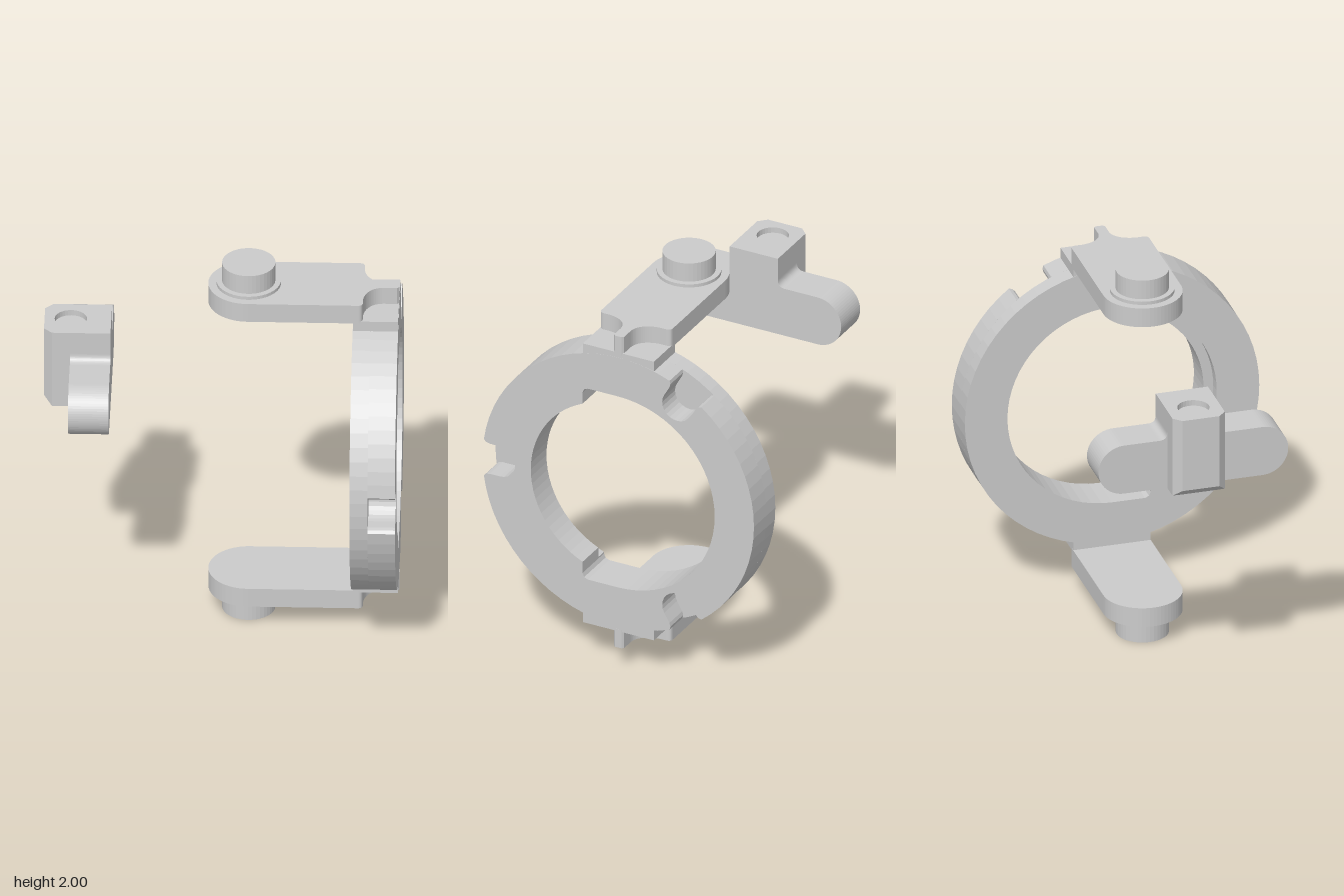
import * as THREE from 'three';
import { ConvexGeometry } from 'three/addons/geometries/ConvexGeometry.js';

const material = new THREE.MeshStandardMaterial({ color: 0xcccccc, flatShading: true });
const MID = 1; // height of the ring axis

function mesh(name, geometry) {
  const m = new THREE.Mesh(geometry, material);
  m.name = name;
  return m;
}

// Extrude a (-z, y) outline along x, from x0 to x1
function extrudeX(shape, x0, x1) {
  return new THREE.ExtrudeGeometry(shape, { depth: x1 - x0, bevelEnabled: false, curveSegments: 16 })
    .rotateY(Math.PI / 2).translate(x0, 0, 0);
}

// Extrude an (x, -z) outline along y, from y0 to y1
function extrudeY(shape, y0, y1) {
  return new THREE.ExtrudeGeometry(shape, { depth: y1 - y0, bevelEnabled: false, curveSegments: 16 })
    .rotateX(-Math.PI / 2).translate(0, y0, 0);
}

function arcPoints(cx, cy, r, a0, a1, n) {
  return Array.from({ length: n + 1 }, (_, i) => {
    const a = a0 + (a1 - a0) * i / n;
    return new THREE.Vector2(cx + r * Math.cos(a), cy + r * Math.sin(a));
  });
}

// Bore: wide half, flats at top and bottom, and a second half of radius r
function borePath(r) {
  const R = 0.54, c = 0.2, y = Math.sqrt(r * r - c * c), a = Math.atan2(y, -c);
  const corner = [[-0.17, -R], [-0.191, -0.531], [-c, -0.51]].map(p => new THREE.Vector2(...p));
  return new THREE.Path([
    ...arcPoints(0, 0, R, Math.PI / 2, -Math.PI / 2, 32),
    ...corner,
    ...arcPoints(0, 0, r, -a, a - 2 * Math.PI, 28),
    ...corner.map(p => new THREE.Vector2(p.x, -p.y)).reverse(),
  ]);
}

// Ring outline, optionally with three keyhole notches in the rim
function ringShape(boreRadius, notched) {
  const R = 0.76;
  let points = [];
  if (notched) {
    const w = 0.085, f = 0.103;
    const side = [[Math.sqrt(R * R - f * f), -f], [0.74, -0.09], [0.72, -w]].map(p => new THREE.Vector2(...p));
    const notch = [
      ...side,
      ...arcPoints(0.662, 0, w, -Math.PI / 2, -1.5 * Math.PI, 12),
      ...side.map(p => new THREE.Vector2(p.x, -p.y)).reverse(),
    ];
    const half = Math.asin(f / R), origin = new THREE.Vector2();
    for (let k = 0; k < 3; k++) {
      const a = Math.PI / 3 + k * 2 * Math.PI / 3;
      points.push(...notch.map(p => p.clone().rotateAround(origin, a)));
      points.push(...arcPoints(0, 0, R, a + half, a + 2 * Math.PI / 3 - half, 20).slice(1, -1));
    }
  } else {
    points = arcPoints(0, 0, R, 0, 2 * Math.PI, 66).slice(0, -1);
  }
  const shape = new THREE.Shape(points);
  shape.holes.push(borePath(boreRadius));
  return shape;
}

function makeRing() {
  const ring = new THREE.Group();
  ring.name = 'ring';
  ring.position.y = MID;
  ring.add(
    mesh('ringInnerFace', extrudeX(ringShape(0.54, false), 0.65, 0.71)),
    mesh('ringLipLayer', extrudeX(ringShape(0.49, false), 0.71, 0.74)),
    mesh('ringNotchedLayer', extrudeX(ringShape(0.49, true), 0.74, 0.875)),
  );
  return ring;
}

// Arm with pivot pin, measured from the ring axis
function makeArm(name) {
  const arm = new THREE.Group();
  arm.name = name;

  // Plate: round end, two scooped pockets and a thin central web
  const s = new THREE.Shape();
  s.absarc(0.13, 0, 0.2, Math.PI / 2, 1.5 * Math.PI, false);
  s.lineTo(0.675, -0.2);
  s.quadraticCurveTo(0.7, -0.2, 0.7, -0.17);
  s.lineTo(0.7, -0.14);
  s.bezierCurveTo(0.705, -0.08, 0.74, -0.028, 0.8, -0.028);
  s.lineTo(0.865, -0.028);
  s.lineTo(0.875, -0.018);
  s.lineTo(0.875, 0.018);
  s.lineTo(0.865, 0.028);
  s.lineTo(0.8, 0.028);
  s.bezierCurveTo(0.74, 0.028, 0.705, 0.08, 0.7, 0.14);
  s.lineTo(0.7, 0.17);
  s.quadraticCurveTo(0.7, 0.2, 0.675, 0.2);
  arm.add(mesh('armPlate', extrudeY(s, 0.777, 0.88)));

  // Pad joining plate and ring
  arm.add(mesh('mountingPad', new THREE.BoxGeometry(0.222, 0.09, 0.398).translate(0.763, 0.743, 0)));

  // Pivot pin and its collar
  arm.add(mesh('pinCollar', new THREE.CylinderGeometry(0.16, 0.16, 0.025, 40).translate(0.13, 0.885, 0)));
  arm.add(mesh('pivotPin', new THREE.CylinderGeometry(0.132, 0.132, 0.13, 40).translate(0.13, 0.935, 0)));
  arm.position.y = MID;
  return arm;
}

function makeSlider() {
  const slider = new THREE.Group();
  slider.name = 'slider';
  const bottom = 1.23, top = 1.655, lid = 1.625;

  // Block with chamfered back edges
  const outline = [[-0.55, -0.135], [-0.55, 0.135], [-0.84, 0.135], [-0.88, 0.095], [-0.88, -0.095], [-0.84, -0.135]];
  const corners = [];
  for (const [x, z] of outline) {
    corners.push(new THREE.Vector3(x, lid, z), new THREE.Vector3(x, bottom + 0.038, z));
    corners.push(new THREE.Vector3(Math.max(x, -0.842), bottom, z));
  }
  slider.add(mesh('block', new ConvexGeometry(corners)));

  // Top of the block with a round recess
  const cap = new THREE.Shape(outline.map(p => new THREE.Vector2(...p)));
  cap.holes.push(new THREE.Path(arcPoints(-0.75, 0, 0.08, 0, 2 * Math.PI, 32).slice(0, -1)));
  slider.add(mesh('blockTop', extrudeY(cap, lid, top)));

  // Round-ended wings filleted into the block
  const w = new THREE.Shape(), r = 0.1325, h = bottom + 2 * r;
  w.moveTo(-0.357, bottom);
  w.lineTo(0.357, bottom);
  w.absarc(0.357, bottom + r, r, -Math.PI / 2, Math.PI / 2, false);
  w.lineTo(0.175, h);
  w.quadraticCurveTo(0.135, h, 0.135, h + 0.04);
  w.lineTo(-0.135, h + 0.04);
  w.quadraticCurveTo(-0.135, h, -0.175, h);
  w.lineTo(-0.357, h);
  w.absarc(-0.357, bottom + r, r, Math.PI / 2, 1.5 * Math.PI, false);
  slider.add(mesh('wings', extrudeX(w, -0.75, -0.55)));
  return slider;
}

export function createModel() {
  const model = new THREE.Group();
  model.name = 'ringBracket';
  const lowerArm = makeArm('lowerArm');
  lowerArm.rotation.x = Math.PI;
  model.add(makeRing(), makeArm('upperArm'), lowerArm, makeSlider());
  return model;
}
